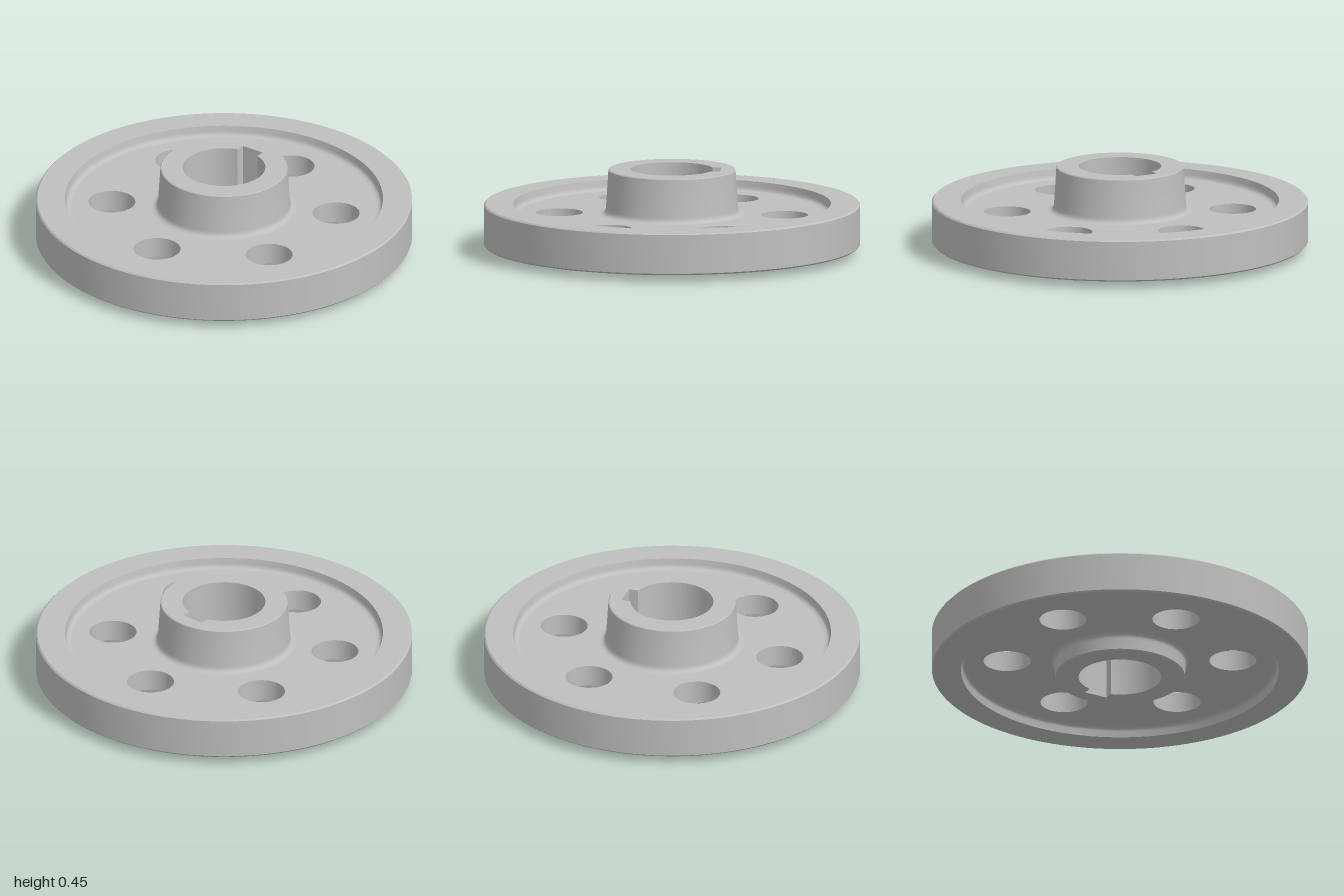
import * as THREE from 'three';
import { toCreasedNormals } from 'three/addons/utils/BufferGeometryUtils.js';

const RIM = { bottom: 0.04, top: 0.265, inner: 0.845 };
const WEB = { bottom: 0.095, top: 0.21, inner: 0.385, outer: 0.81 };
const HUB_TOP = 0.45, BORE = 0.22, KEY_HALF = 0.065, KEY_DEPTH = 0.26;
const HOLES = { count: 6, radius: 0.125, ring: 0.6 };

// Quarter-round fillet as profile points
function fillet(from, corner, to) {
  return new THREE.QuadraticBezierCurve(
    new THREE.Vector2(...from), new THREE.Vector2(...corner), new THREE.Vector2(...to)
  ).getPoints(6).map((p) => [p.x, p.y]);
}

function circle(radius, x = 0, y = 0) {
  return new THREE.Path().absarc(x, y, radius, 0, Math.PI * 2, true);
}

function disc(radius) {
  return new THREE.Shape().absarc(0, 0, radius, 0, Math.PI * 2, false);
}

export function createModel() {
  const group = new THREE.Group();
  const steel = new THREE.MeshStandardMaterial({ color: 0xbfbfbf });
  steel.name = 'steel grey';

  const add = (name, geometry, x = 0, y = 0, z = 0) => {
    const mesh = new THREE.Mesh(geometry, steel);
    mesh.name = name;
    mesh.position.set(x, y, z);
    group.add(mesh);
    return mesh;
  };
  const lathe = (points, segments = 128, start = 0, length = Math.PI * 2) => toCreasedNormals(
    new THREE.LatheGeometry(points.map((p) => new THREE.Vector2(...p)), segments, start, length), 0.5);
  // Flat face pointing up or down
  const face = (name, shape, y, up) => {
    const geometry = new THREE.ShapeGeometry(shape, 64);
    geometry.rotateX(up ? -Math.PI / 2 : Math.PI / 2);
    if (!up) geometry.rotateY(Math.PI);
    add(name, geometry, 0, y, 0);
  };

  // Rim with softened outer edges and fillets into the web
  add('rim', lathe([
    ...fillet([WEB.outer, WEB.bottom], [0.838, WEB.bottom], [0.84, 0.068]),
    [RIM.inner, RIM.bottom], [0.992, RIM.bottom], [1, 0.048],
    [1, 0.257], [0.992, RIM.top], [RIM.inner, RIM.top],
    ...fillet([0.84, 0.237], [0.838, WEB.top], [WEB.outer, WEB.top]),
  ]));

  // Web faces and the ring of lightening holes
  const web = disc(WEB.outer);
  web.holes.push(circle(WEB.inner));
  for (let i = 0; i < HOLES.count; i++) {
    const a = Math.PI / 6 + (i * Math.PI * 2) / HOLES.count;
    const x = Math.cos(a) * HOLES.ring, z = Math.sin(a) * HOLES.ring;
    web.holes.push(circle(HOLES.radius, x, z));
    add('lighteningHole', lathe([[HOLES.radius, WEB.top], [HOLES.radius, WEB.bottom]], 64), x, 0, z);
  }
  face('webTop', web, WEB.top, true);
  face('webBottom', web, WEB.bottom, false);

  // Tapered hub, long above and short below
  add('hubUpper', lathe([
    ...fillet([WEB.inner, WEB.top], [0.353, WEB.top], [0.351, 0.243]),
    [0.338, 0.445], [0.334, HUB_TOP],
  ]));
  add('hubLower', lathe([
    [0.34, 0], [0.345, 0.005],
    ...fillet([0.349, 0.064], [0.351, WEB.bottom], [WEB.inner, WEB.bottom]),
  ]));

  // Hub end faces with the keyed bore
  const keyAngle = Math.asin(KEY_HALF / BORE);
  const keyedBore = () => {
    const path = new THREE.Path();
    path.absarc(0, 0, BORE, Math.PI / 2 - keyAngle, Math.PI / 2 + keyAngle, true);
    path.lineTo(-KEY_HALF, KEY_DEPTH);
    path.lineTo(KEY_HALF, KEY_DEPTH);
    path.closePath();
    return path;
  };
  for (const [name, radius, y, up] of [['hubTop', 0.334, HUB_TOP, true], ['hubBottom', 0.34, 0, false]]) {
    const shape = disc(radius);
    shape.holes.push(keyedBore());
    face(name, shape, y, up);
  }

  // Bore wall, open at the keyway
  add('bore', lathe([[BORE, HUB_TOP], [BORE, 0]], 96, Math.PI + keyAngle, Math.PI * 2 - 2 * keyAngle));

  // Keyway back and side walls
  const boreEdge = BORE * Math.cos(keyAngle);
  add('keywayBack', new THREE.PlaneGeometry(KEY_HALF * 2, HUB_TOP), 0, HUB_TOP / 2, -KEY_DEPTH);
  for (const side of [-1, 1]) {
    const wall = add('keywaySide', new THREE.PlaneGeometry(KEY_DEPTH - boreEdge, HUB_TOP),
      side * KEY_HALF, HUB_TOP / 2, -(KEY_DEPTH + boreEdge) / 2);
    wall.rotation.y = -side * Math.PI / 2;
  }

  return group;
}
